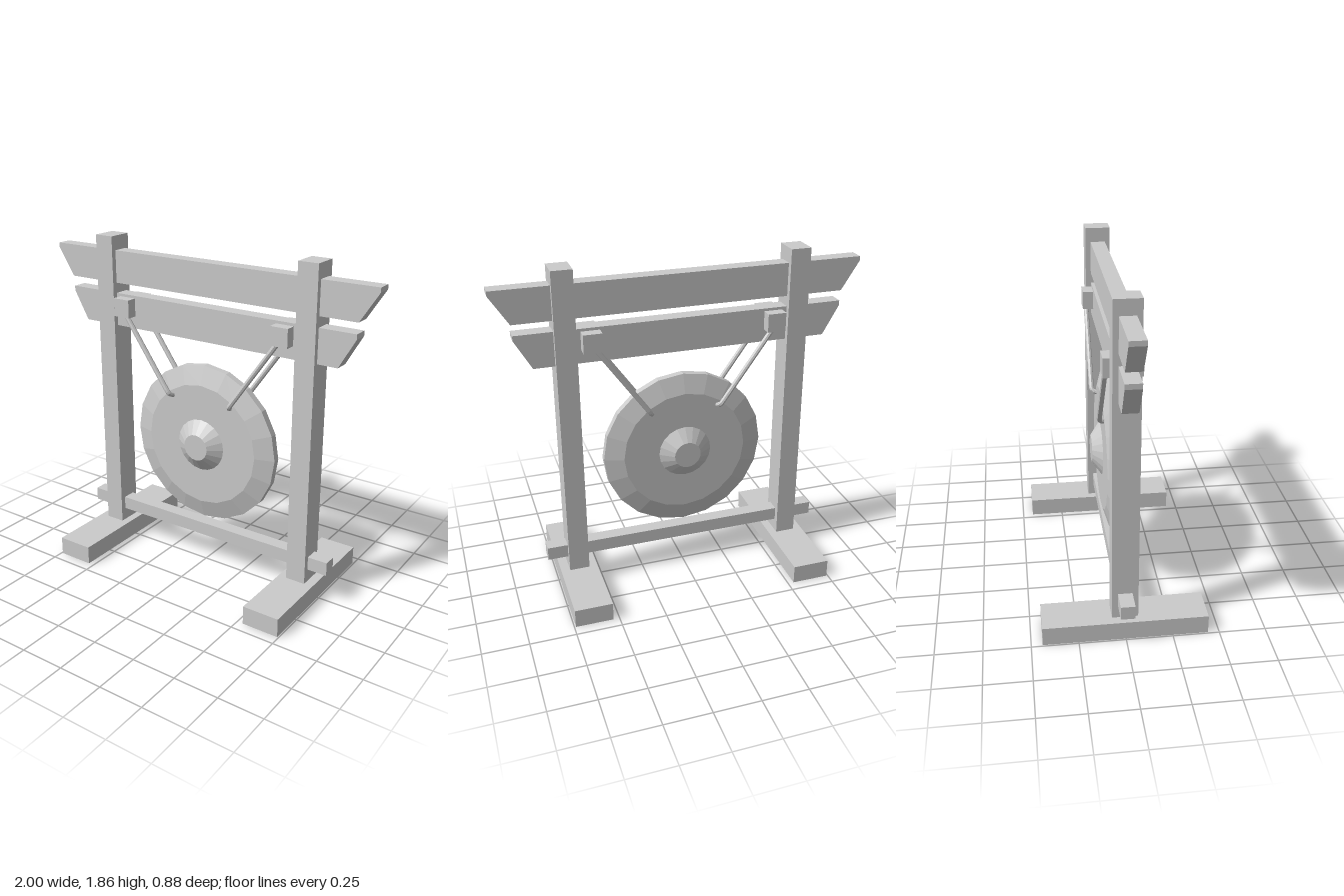
import * as THREE from 'three';

const grey = new THREE.MeshStandardMaterial({ color: 0xcccccc, flatShading: true });

function add(parent, name, geometry, x = 0, y = 0, z = 0) {
  const mesh = new THREE.Mesh(geometry, grey);
  mesh.name = name;
  mesh.position.set(x, y, z);
  parent.add(mesh);
  return mesh;
}

// Crossbeam with undercut ends: a short upright lip, then a slope inwards
function beamGeometry(topHalf, bottomHalf, bottom, lip, top, depth) {
  const shape = new THREE.Shape([
    [-bottomHalf, bottom], [bottomHalf, bottom], [topHalf, lip],
    [topHalf, top], [-topHalf, top], [-topHalf, lip],
  ].map(([x, y]) => new THREE.Vector2(x, y)));
  return new THREE.ExtrudeGeometry(shape, { depth, bevelEnabled: false })
    .translate(0, 0, -depth / 2);
}

// Rope that drops from the peg, threads through the gong and returns behind
function ropeGeometry(side) {
  const front = [[0.5, 1.45, 0.08], [0.207, 1.036, 0.08], [0.196, 1.02, 0.074], [0.19, 1.012, 0.055]];
  const back = front.map(([x, y, z]) => [x, y, -z]).reverse();
  const points = [...front, ...back].map(([x, y, z]) => new THREE.Vector3(side * x, y, z));
  const path = new THREE.CurvePath();
  for (let i = 1; i < points.length; i++) path.add(new THREE.LineCurve3(points[i - 1], points[i]));
  return new THREE.TubeGeometry(path, 90, 0.014, 8, false);
}

export function createModel() {
  const model = new THREE.Group();
  model.name = 'gongOnStand';

  // Wooden frame
  const frame = new THREE.Group();
  frame.name = 'frame';
  model.add(frame);
  add(frame, 'topBeam', beamGeometry(1, 0.9, 1.595, 1.752, 1.777, 0.082));
  add(frame, 'hangingBeam', beamGeometry(0.896, 0.805, 1.35, 1.51, 1.537, 0.082));
  add(frame, 'lowerRail', new THREE.BoxGeometry(1.61, 0.076, 0.076), 0, 0.217, 0);

  for (const [prefix, side] of [['left', 1], ['right', -1]]) {
    add(frame, prefix + 'Foot', new THREE.BoxGeometry(0.208, 0.105, 0.88), side * 0.638, 0.0525, 0);
    add(frame, prefix + 'Post', new THREE.BoxGeometry(0.112, 1.752, 0.14), side * 0.636, 0.981, 0);
    add(frame, prefix + 'Peg', new THREE.BoxGeometry(0.102, 0.102, 0.2), side * 0.503, 1.471, 0);
    add(model, prefix + 'Rope', ropeGeometry(side));
  }

  // Gong disc with bevelled rim and a raised boss on both faces
  const gong = new THREE.Group();
  gong.name = 'gong';
  gong.position.y = 0.752;
  model.add(gong);
  const profile = [[0, -0.053], [0.35, -0.053], [0.457, -0.02], [0.457, 0.02], [0.35, 0.053], [0, 0.053]]
    .map(([r, h]) => new THREE.Vector2(r, h));
  add(gong, 'disc', new THREE.LatheGeometry(profile, 20).rotateX(Math.PI / 2));
  add(gong, 'frontBoss', new THREE.CylinderGeometry(0.075, 0.153, 0.055, 20).rotateX(Math.PI / 2), 0, 0, 0.078);
  add(gong, 'backBoss', new THREE.CylinderGeometry(0.075, 0.153, 0.055, 20).rotateX(-Math.PI / 2), 0, 0, -0.078);

  return model;
}
